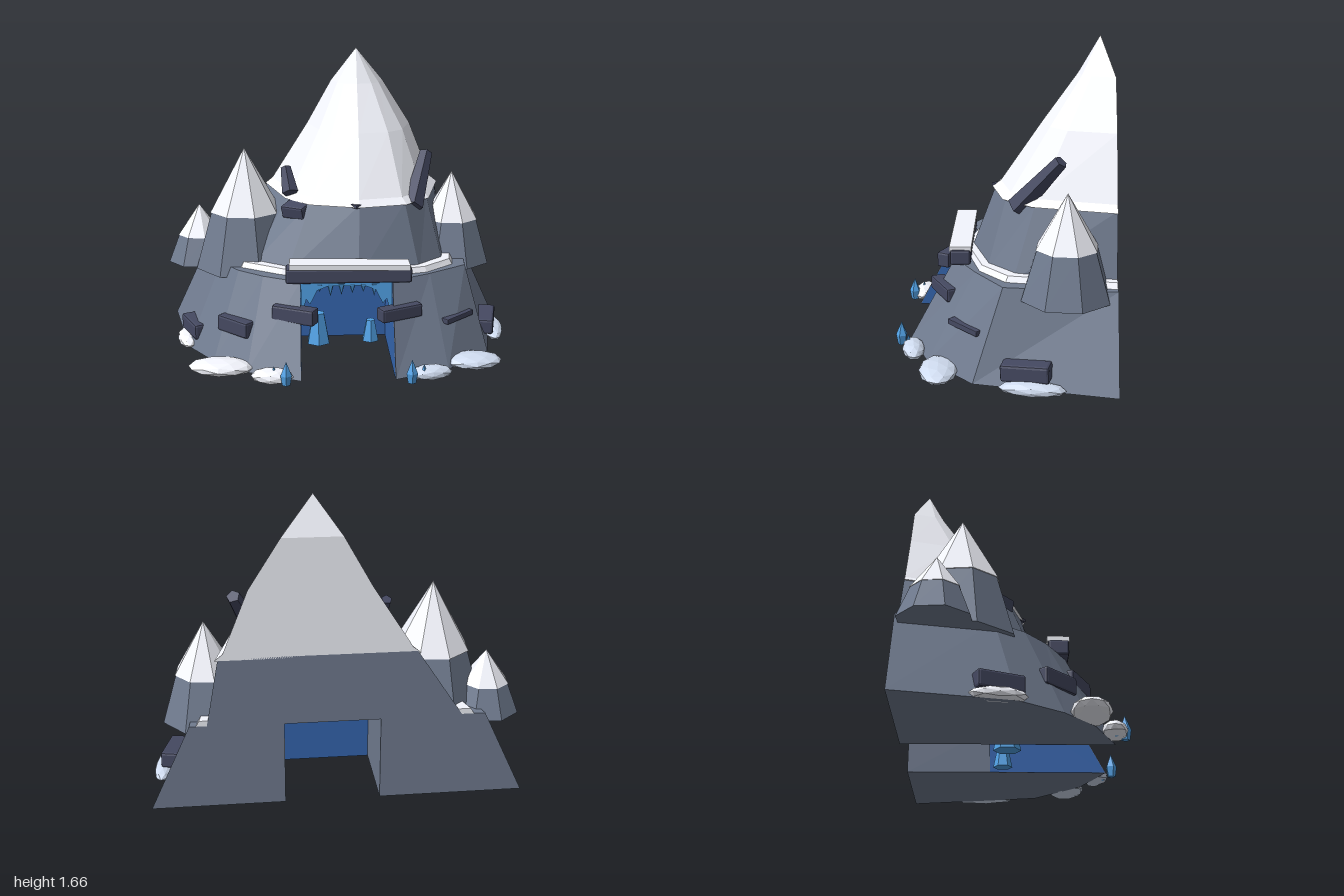
import * as THREE from 'three';
import { RoundedBoxGeometry } from 'three/addons/geometries/RoundedBoxGeometry.js';

const BACK = -0.585;
const mat = (color, side = THREE.FrontSide) =>
  new THREE.MeshStandardMaterial({ color, flatShading: true, side });
const shape = (pts) => new THREE.Shape(pts.map((p) => new THREE.Vector2(...p)));

// Closed solid through rings of [x, z] points, each ring at its own height
function loft(levels) {
  const pos = [];
  const rings = levels.map(({ y, pts }) => pts.map(([x, z]) => [x, y, z]));
  const tri = (a, b, c) => pos.push(...a, ...b, ...c);
  for (let k = 0; k < rings.length - 1; k++) {
    const lo = rings[k], hi = rings[k + 1], n = lo.length;
    for (let i = 0; i < n; i++) {
      const j = (i + 1) % n;
      tri(lo[i], lo[j], hi[j]);
      tri(lo[i], hi[j], hi[i]);
    }
  }
  const first = rings[0], last = rings[rings.length - 1];
  for (let i = 1; i < first.length - 1; i++) {
    tri(first[0], first[i + 1], first[i]);
    tri(last[0], last[i], last[i + 1]);
  }
  const g = new THREE.BufferGeometry();
  g.setAttribute('position', new THREE.Float32BufferAttribute(pos, 3));
  g.computeVertexNormals();
  return g;
}

export function createModel() {
  const model = new THREE.Group();
  const rock = mat(0x707b8f), dark = mat(0x454961), snow = mat(0xf4f6fe);
  const frost = mat(0xd0dcf0), ice = mat(0x52a2e6, THREE.DoubleSide);
  const cave = mat(0x3566b0, THREE.DoubleSide);

  const add = (name, geo, material, p = [0, 0, 0], r = [0, 0, 0]) => {
    const m = new THREE.Mesh(geo, material);
    m.name = name;
    m.position.set(...p);
    m.rotation.set(...r);
    model.add(m);
    return m;
  };
  const slab = (w, h, d) => new RoundedBoxGeometry(w, h, d, 1, Math.min(w, h, d) * 0.15);

  // Two rock halves of the base with the cave passage between them
  add('baseLeft', loft([
    { y: 0, pts: [[0.29, BACK], [0.29, 0.51], [0.59, 0.39], [0.85, 0.14], [0.995, BACK]] },
    { y: 0.47, pts: [[0.29, BACK], [0.29, 0.26], [0.51, 0.14], [0.73, -0.01], [0.78, BACK]] },
  ]), rock);
  add('baseRight', loft([
    { y: 0, pts: [[-0.99, BACK], [-0.86, 0], [-0.7, 0.22], [-0.51, 0.38], [-0.215, 0.51], [-0.215, BACK]] },
    { y: 0.47, pts: [[-0.77, BACK], [-0.67, -0.11], [-0.56, 0.04], [-0.42, 0.15], [-0.215, 0.26], [-0.215, BACK]] },
  ]), rock);

  // Upper rock tier and the snow ledge around its foot
  const tierFoot = [[-0.65, BACK], [-0.5, -0.05], [-0.29, 0.09], [0.11, 0.18], [0.46, 0.08], [0.61, -0.06], [0.69, BACK]];
  const tierTop = [[-0.4, BACK], [-0.28, -0.19], [-0.15, -0.04], [0.12, 0.04], [0.38, -0.02], [0.52, -0.17], [0.62, BACK]];
  const ledge = (s, dz) => tierFoot.map(([x, z]) => [0.05 + (x - 0.05) * s, z === BACK ? z : z + dz]);
  add('upperTier', loft([{ y: 0.462, pts: tierFoot }, { y: 0.84, pts: tierTop }]), rock);
  add('snowLedge', loft([
    { y: 0.465, pts: ledge(1.09, 0.04) },
    { y: 0.5, pts: ledge(1.06, 0.025) },
  ]), snow);

  // Snowy summit with a flat back, narrowing from the tier's outline
  const summitRing = (cx, minusX, plusX, front) => tierTop.map(([x, z]) => [
    cx + (x - 0.12) * (x < 0.12 ? minusX : plusX), BACK + (z - BACK) * front]);
  add('summitSnow', loft([
    { y: 0.83, pts: summitRing(0.12, 1.035, 1.035, 1.035) },
    { y: 0.865, pts: summitRing(0.12, 0.95, 0.95, 0.96) },
    { y: 1.2, pts: summitRing(0.13, 0.56, 0.66, 0.6) },
    { y: 1.46, pts: summitRing(0.13, 0.28, 0.33, 0.305) },
    { y: 1.66, pts: tierTop.map(() => [0.13, -0.51]) },
  ]), snow);

  // Side peaks: eight-sided rock frustum under a snow cone
  for (const [x, z, foot, line, tip, r0, r1] of [
    [-0.53, -0.28, 0.41, 0.74, 1.11, 0.3, 0.21],
    [-0.81, -0.39, 0.41, 0.57, 0.75, 0.19, 0.13],
    [0.69, -0.33, 0.41, 0.67, 0.95, 0.24, 0.165],
  ]) {
    add('sidePeakRock', new THREE.CylinderGeometry(r1 * 0.97, r0, line - foot, 8), rock, [x, (foot + line) / 2, z], [0, 0.3, 0]);
    add('sidePeakSnow', new THREE.ConeGeometry(r1, tip - line, 8), snow, [x, (line + tip) / 2, z], [0, 0.3, 0]);
  }

  // Cave lining: back wall, and side walls following the front slope
  add('caveBackWall', new THREE.PlaneGeometry(0.505, 0.462), cave, [0.0375, 0.231, -0.13]);
  const wall = shape([[0.13, 0], [-0.505, 0], [-0.26, 0.462], [0.13, 0.462]]);
  for (const x of [-0.212, 0.287])
    add('caveSideWall', new THREE.ShapeGeometry(wall), cave, [x, 0, 0], [0, Math.PI / 2, 0]);

  // Ice arch with corner drapes, and a row of icicles
  const arch = shape([
    [-0.25, 0.462], [-0.25, 0.27], [-0.22, 0.37], [-0.2, 0.34], [-0.16, 0.42], [-0.1, 0.445],
    [0.1, 0.445], [0.16, 0.42], [0.2, 0.34], [0.22, 0.37], [0.25, 0.27], [0.25, 0.462],
  ]);
  add('iceArch', new THREE.ExtrudeGeometry(arch, { depth: 0.1, bevelEnabled: false }), ice, [0.0375, 0, 0.16]);
  for (let i = 0; i < 6; i++) {
    const h = 0.05 + 0.025 * ((i * 3) % 4) / 3;
    add('icicle', new THREE.ConeGeometry(0.022, h, 5), ice, [-0.11 + i * 0.06, 0.455 - h / 2, 0.245], [Math.PI, 0, 0]);
  }

  // Lintel beam with snow on top, and angled brackets beside the mouth
  add('lintelBeam', slab(0.69, 0.085, 0.11), dark, [0.05, 0.505, 0.225]);
  add('lintelSnow', slab(0.66, 0.032, 0.12), snow, [0.055, 0.555, 0.225], [0, 0, -0.015]);
  add('bracketRight', slab(0.25, 0.09, 0.08), dark, [-0.245, 0.305, 0.31], [0, -0.45, 0]);
  add('bracketLeft', slab(0.25, 0.075, 0.08), dark, [0.325, 0.31, 0.31], [0, 0.45, 0]);

  // Dark slabs embedded in the slopes
  for (const [w, h, d, p, r] of [
    [0.23, 0.09, 0.08, [-0.57, 0.2, 0.19], [0, -0.75, 0]],
    [0.23, 0.03, 0.06, [0.66, 0.23, 0.18], [0, 0.75, 0]],
    [0.25, 0.09, 0.1, [0.885, 0.09, -0.13], [0, 1.35, 0.05]],
    [0.24, 0.09, 0.1, [-0.82, 0.095, -0.09], [0, -1.15, 0]],
    [0.15, 0.075, 0.1, [-0.23, 0.785, -0.09], [0.3, -0.6, 0.2]],
    [0.07, 0.02, 0.06, [0.11, 0.835, 0.02], [0, 0.7, 0]],
  ]) add('slopeRock', slab(w, h, d), dark, p, r);

  // Leaning shards between two end points
  for (const [a, b, w] of [
    [[0.43, 0.8, -0.08], [0.53, 1.07, -0.3], 0.095],
    [[-0.265, 0.87, -0.15], [-0.29, 1.0, -0.24], 0.075],
  ]) {
    const p = new THREE.Vector3(...a), dir = new THREE.Vector3(...b).sub(p), len = dir.length();
    const m = add('rockShard', new THREE.CylinderGeometry(w * 0.4, w * 0.65, len, 5), dark, p.clone().addScaledVector(dir, 0.5).toArray());
    m.quaternion.setFromUnitVectors(new THREE.Vector3(0, 1, 0), dir.normalize());
  }

  // Flat-bottomed snow mounds along the foot
  for (const [x, z, rx, rz, h, turn, m] of [
    [-0.65, 0.35, 0.18, 0.1, 0.068, -0.1, snow],
    [-0.37, 0.49, 0.115, 0.065, 0.068, -0.15, snow],
    [0.74, 0.32, 0.155, 0.1, 0.065, 0.05, frost],
    [0.48, 0.475, 0.12, 0.06, 0.065, 0.15, frost],
    [0.94, -0.16, 0.17, 0.055, 0.06, 1.45, frost],
    [-0.87, -0.09, 0.14, 0.06, 0.06, -1.4, snow],
  ]) {
    const g = new THREE.IcosahedronGeometry(1, 1), q = g.attributes.position;
    for (let i = 0; i < q.count; i++)
      q.setXYZ(i, q.getX(i) * rx, Math.max(0, (q.getY(i) * 0.65 + 0.35) * h), q.getZ(i) * rz);
    g.computeVertexNormals();
    add('snowMound', g, m, [x, 0, z], [0, turn, 0]);
  }

  // Ice crystals: pointed ones outside, blunt ones inside the cave
  for (const [x, z, r, h] of [
    [-0.295, 0.55, 0.032, 0.13], [0.37, 0.55, 0.032, 0.13], [0.44, 0.505, 0.018, 0.085], [-0.36, 0.5, 0.018, 0.085],
  ]) {
    const profile = [[0, 0], [r * 0.7, 0], [r, h * 0.42], [0, h]].map((p) => new THREE.Vector2(...p));
    add('iceCrystal', new THREE.LatheGeometry(profile, 5), ice, [x, 0, z]);
  }
  for (const [x, z, r, h] of [[-0.11, -0.04, 0.072, 0.18], [0.195, -0.06, 0.052, 0.125]])
    add('caveCrystal', new THREE.CylinderGeometry(r * 0.5, r, h, 6), ice, [x, h / 2, z]);

  return model;
}
